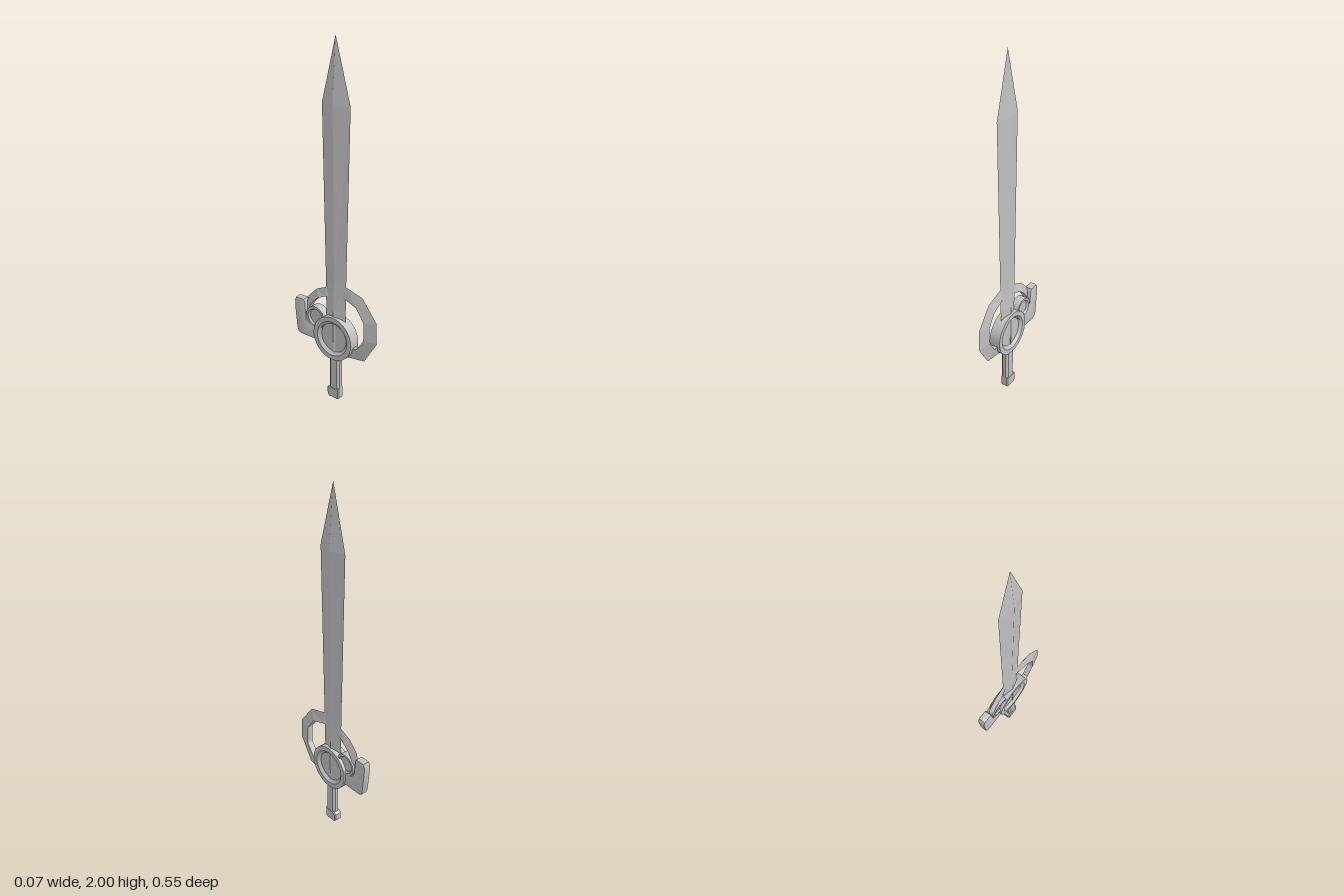
import * as THREE from 'three';
import { toCreasedNormals } from 'three/addons/utils/BufferGeometryUtils.js';

const steel = new THREE.MeshStandardMaterial({ color: 0xc0c0c0 });
steel.name = 'steel grey';

// Skin a row of equal cross-sections, flat shaded, with fan caps at both ends
function loft(sections) {
  const pos = [], n = sections[0].length;
  const tri = (...p) => p.forEach(q => pos.push(...q));
  for (let i = 0; i + 1 < sections.length; i++) {
    for (let j = 0; j < n; j++) {
      const k = (j + 1) % n, s = sections[i], t = sections[i + 1];
      tri(s[j], s[k], t[k]);
      tri(s[j], t[k], t[j]);
    }
  }
  const first = sections[0], last = sections[sections.length - 1];
  for (let j = 1; j + 1 < n; j++) {
    tri(first[0], first[j + 1], first[j]);
    tri(last[0], last[j], last[j + 1]);
  }
  const g = new THREE.BufferGeometry();
  g.setAttribute('position', new THREE.Float32BufferAttribute(pos, 3));
  g.computeVertexNormals();
  return g;
}

// Outline in [z, y], thickened along x with a bevel
function plate(points, halfWidth, bevel, segments) {
  const shape = new THREE.Shape(points.map(p => new THREE.Vector2(p[0], p[1])));
  const depth = 2 * (halfWidth - bevel);
  const g = new THREE.ExtrudeGeometry(shape, {
    depth, bevelThickness: bevel, bevelSize: bevel, bevelOffset: -bevel, bevelSegments: segments,
  });
  g.translate(0, 0, -depth / 2).rotateY(-Math.PI / 2);
  return toCreasedNormals(g, 0.5);
}

// Round boss with a raised rim and a sunken floor on both sides
function boss(outer, inner, floorRadius, halfWidth, floorHalf, segments) {
  const half = [[0, floorHalf], [floorRadius, floorHalf], [inner, halfWidth], [outer, halfWidth]];
  const profile = [
    ...half.map(([r, h]) => new THREE.Vector2(r, -h)),
    ...half.reverse().map(([r, h]) => new THREE.Vector2(r, h)),
  ];
  const g = new THREE.LatheGeometry(profile, segments);
  g.rotateZ(Math.PI / 2);
  return toCreasedNormals(g, 0.4);
}

export function createModel() {
  const group = new THREE.Group();
  group.name = 'sword';
  const add = (name, geometry, y = 0, z = 0) => {
    const mesh = new THREE.Mesh(geometry, steel);
    mesh.name = name;
    mesh.position.set(0, y, z);
    group.add(mesh);
  };

  // Diamond section blade: height, half thickness, front edge, back edge
  add('blade', loft([
    [0.29, 0.021, 0.012, 0.012],
    [0.36, 0.022, 0.06, 0.06],
    [0.56, 0.021, 0.069, 0.065],
    [0.72, 0.014, 0.071, 0.066],
    [1.67, 0.024, 0.092, 0.086],
    [2.0, 0.0005, 0.0005, 0.0005],
  ].map(([y, h, f, b]) => [[-h, y, 0], [0, y, f], [h, y, 0], [0, y, -b]])));

  // Guard arcs with a sharp outer edge: outer z, y, inner z, y, half thickness
  const arc = rows => loft(rows.map(([oz, oy, iz, iy, h]) => [[-h, iy, iz], [0, oy, oz], [h, iy, iz]]));
  add('frontGuardArc', arc([
    [0.05, 0.28, 0.1, 0.355, 0.016],
    [0.196, 0.302, 0.154, 0.366, 0.017],
    [0.276, 0.435, 0.2, 0.435, 0.017],
    [0.27, 0.557, 0.2, 0.54, 0.017],
    [0.18, 0.674, 0.149, 0.615, 0.017],
    [0.074, 0.705, 0.074, 0.637, 0.01],
    [0.05, 0.707, 0.05, 0.638, 0.004],
  ]));
  add('backGuardArc', arc([
    [-0.045, 0.675, -0.045, 0.62, 0.004],
    [-0.064, 0.668, -0.064, 0.615, 0.01],
    [-0.133, 0.637, -0.111, 0.594, 0.017],
    [-0.19, 0.578, -0.149, 0.557, 0.017],
    [-0.202, 0.535, -0.17, 0.525, 0.017],
    [-0.212, 0.47, -0.18, 0.47, 0.017],
  ]));

  // Round hub and the small boss behind it
  add('hub', boss(0.13, 0.102, 0.085, 0.033, 0.017, 32), 0.385, 0);
  add('smallBoss', boss(0.065, 0.051, 0.043, 0.024, 0.014, 24), 0.472, -0.125);

  // Upturned rear fin with soft edges
  add('rearFin', plate([
    [-0.09, 0.405], [-0.09, 0.334], [-0.235, 0.334], [-0.252, 0.342], [-0.262, 0.365],
    [-0.275, 0.495], [-0.275, 0.535], [-0.266, 0.556], [-0.21, 0.556], [-0.202, 0.54],
    [-0.194, 0.455], [-0.184, 0.432], [-0.165, 0.418],
  ].reverse(), 0.022, 0.006, 2));

  // Grip and the hooked pommel at its foot
  add('grip', plate([[0.037, 0.03], [0.037, 0.28], [-0.031, 0.28], [-0.031, 0.03]], 0.022, 0.012, 1));
  add('pommel', plate([
    [0.037, 0.008], [0.03, 0], [-0.032, 0], [-0.043, 0.012], [-0.045, 0.055],
    [-0.036, 0.062], [-0.028, 0.07], [0.037, 0.07],
  ], 0.0235, 0.006, 1));

  return group;
}
